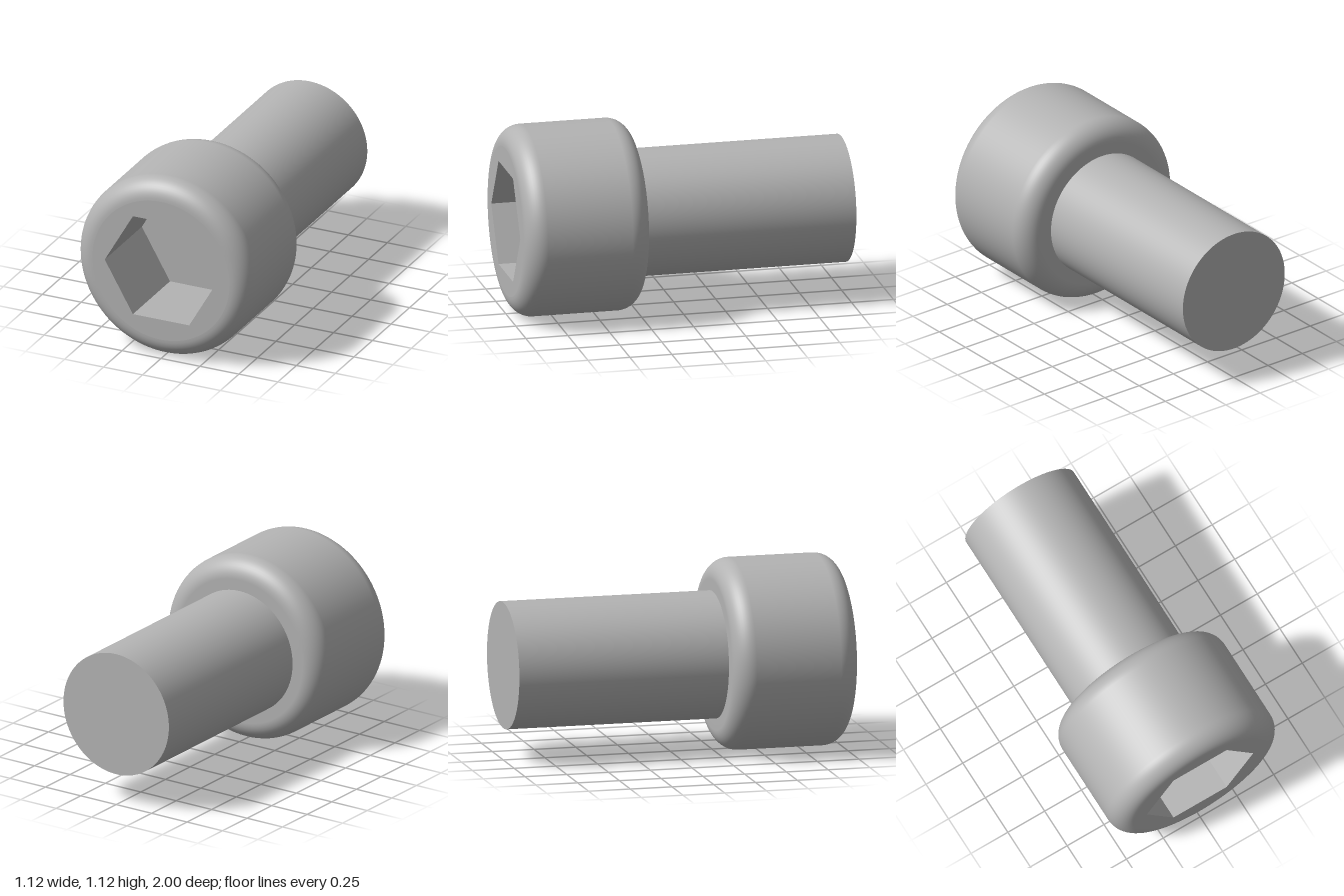
import * as THREE from 'three';

const AXIS_Y = 0.562, HEAD_R = 0.56, HEAD_BACK = 0.255, FRONT = 1, BACK = -1;
const FILLET = 0.12, SHANK_R = 0.372, HEX_R = 0.361, HEX_DEPTH = 0.5, SEGMENTS = 96;

export function createModel() {
  const group = new THREE.Group();
  const steel = new THREE.MeshStandardMaterial({ color: 0xb3b3b3 });
  steel.name = 'steel grey';

  const add = (name, geometry) => {
    const mesh = new THREE.Mesh(geometry, steel);
    mesh.name = name;
    mesh.position.y = AXIS_Y;
    group.add(mesh);
  };

  // Head: turned profile with rounded edges, open at the front for the socket face
  const flatR = HEAD_R - FILLET;
  const profile = [new THREE.Vector2(SHANK_R - 0.02, HEAD_BACK)];
  const fillet = (z, start) => {
    for (let i = 0; i <= 12; i++) {
      const a = start + (i / 12) * Math.PI / 2;
      profile.push(new THREE.Vector2(flatR + FILLET * Math.cos(a), z + FILLET * Math.sin(a)));
    }
  };
  fillet(HEAD_BACK + FILLET, -Math.PI / 2);
  fillet(FRONT - FILLET, 0);
  add('head', new THREE.LatheGeometry(profile, SEGMENTS).rotateX(Math.PI / 2));

  // Front face with a hexagonal opening
  const hexPoints = [];
  for (let i = 0; i < 6; i++) {
    const a = i * Math.PI / 3;
    hexPoints.push(new THREE.Vector2(HEX_R * Math.cos(a), HEX_R * Math.sin(a)));
  }
  const face = new THREE.Shape().absarc(0, 0, flatR, 0, Math.PI * 2, false);
  face.holes.push(new THREE.Path(hexPoints.slice().reverse()));
  add('headFace', new THREE.ShapeGeometry(face, SEGMENTS / 2).translate(0, 0, FRONT));

  // Socket walls: a six-sided tube mirrored so that its faces point inward
  const walls = new THREE.CylinderGeometry(HEX_R, HEX_R, HEX_DEPTH, 6, 1, true, Math.PI / 2)
    .rotateX(Math.PI / 2).scale(1, 1, -1).translate(0, 0, FRONT - HEX_DEPTH / 2).toNonIndexed();
  walls.computeVertexNormals();
  add('socketWalls', walls);

  // Socket floor
  add('socketFloor', new THREE.ShapeGeometry(new THREE.Shape(hexPoints))
    .translate(0, 0, FRONT - HEX_DEPTH));

  // Plain shank, sunk slightly into the head
  const shankFront = HEAD_BACK + 0.03, length = shankFront - BACK;
  add('shank', new THREE.CylinderGeometry(SHANK_R, SHANK_R, length, SEGMENTS)
    .rotateX(Math.PI / 2).translate(0, 0, (shankFront + BACK) / 2));

  return group;
}
